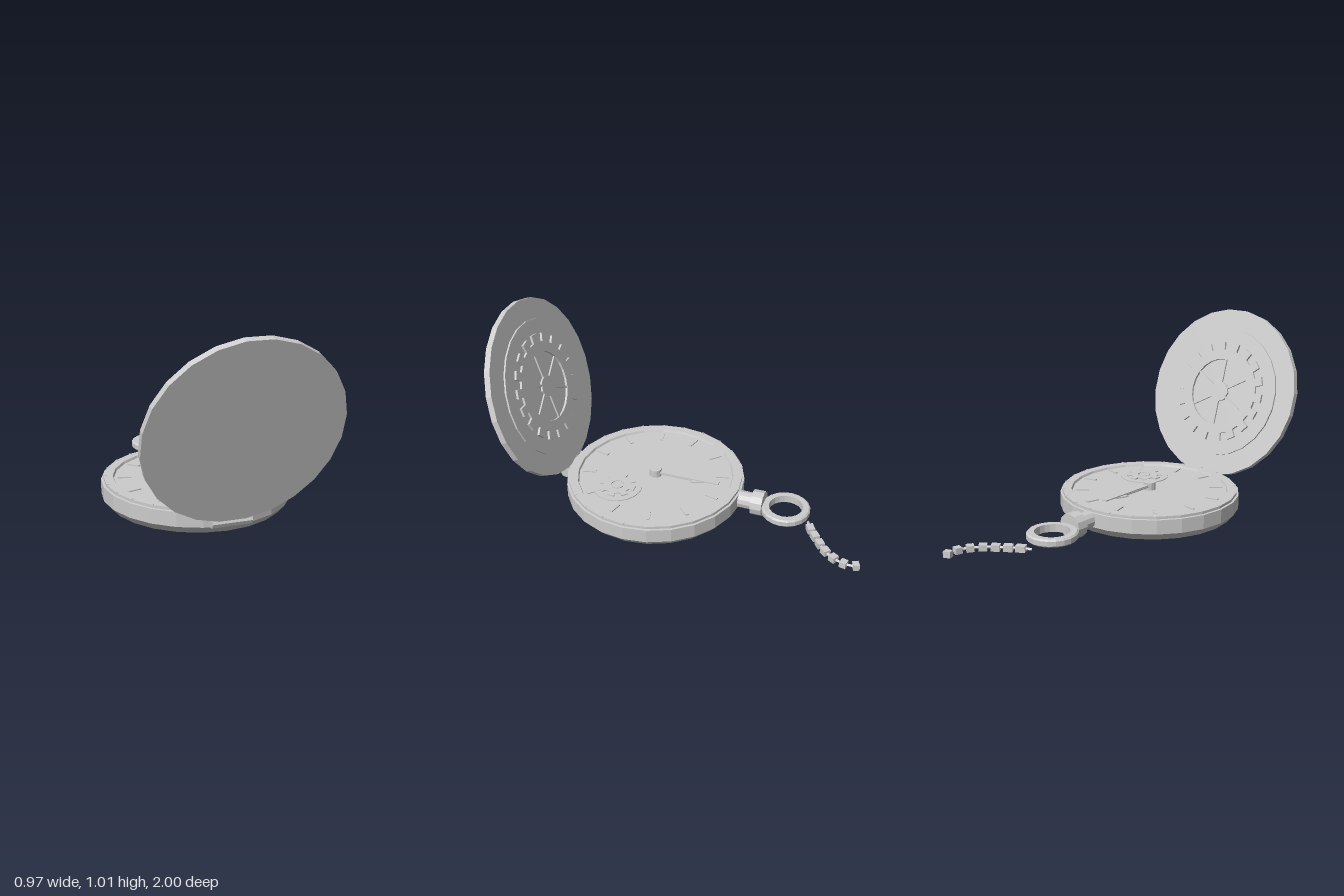
import * as THREE from 'three';

const metal = new THREE.MeshStandardMaterial({ color: 0xcccccc, flatShading: true });
metal.name = 'silver metal';

function add(parent, name, geometry, x = 0, y = 0, z = 0) {
  const mesh = new THREE.Mesh(geometry, metal);
  mesh.name = name;
  mesh.position.set(x, y, z);
  parent.add(mesh);
  return mesh;
}

function lathe(profile, sides) {
  return new THREE.LatheGeometry(profile.map(([r, y]) => new THREE.Vector2(r, y)), sides);
}

// Flat gear lying in the xz plane, rising from y = 0
function gear(teeth, root, tip, hole, height) {
  const shape = new THREE.Shape();
  const step = (Math.PI * 2) / teeth;
  const corners = [[-0.27, root], [-0.24, tip], [0.24, tip], [0.27, root]];
  for (let i = 0; i < teeth; i++) {
    corners.forEach(([t, r], k) => {
      const a = (i + t) * step;
      shape[i + k ? 'lineTo' : 'moveTo'](Math.cos(a) * r, Math.sin(a) * r);
    });
  }
  shape.closePath();
  const opening = new THREE.Path();
  opening.absarc(0, 0, hole, 0, Math.PI * 2, true);
  shape.holes.push(opening);
  return new THREE.ExtrudeGeometry(shape, { depth: height, bevelEnabled: false, curveSegments: 12 })
    .rotateX(-Math.PI / 2);
}

// Hand pointing to -z from an outline of [half width, length] points
function hand(outline, height) {
  const points = [
    ...outline.map(([w, l]) => new THREE.Vector2(w, l)),
    ...outline.slice().reverse().map(([w, l]) => new THREE.Vector2(-w, l)),
  ];
  return new THREE.ExtrudeGeometry(new THREE.Shape(points), { depth: height, bevelEnabled: false })
    .rotateX(-Math.PI / 2);
}

// Radially placed small boxes
function radialBoxes(parent, name, count, offset, radius, size, y) {
  for (let i = 0; i < count; i++) {
    const a = offset + (i * Math.PI * 2) / count;
    const box = add(parent, name, new THREE.BoxGeometry(...size), Math.sin(a) * radius, y, Math.cos(a) * radius);
    box.rotation.y = a;
  }
}

function createWatch() {
  const watch = new THREE.Group();
  watch.name = 'watch';
  watch.position.z = 0.187;

  // Case with bezel and recessed dial
  add(watch, 'case', lathe([
    [0, 0], [0.45, 0], [0.485, 0.04], [0.485, 0.115], [0.473, 0.116],
    [0.473, 0.13], [0.425, 0.13], [0.42, 0.118], [0, 0.118],
  ], 24));
  radialBoxes(watch, 'bezelTick', 24, 0, 0.466, [0.008, 0.004, 0.016], 0.13);
  radialBoxes(watch, 'hourMarker', 12, Math.PI / 12, 0.365, [0.018, 0.008, 0.07], 0.12);

  // Small dial with its gear
  const sub = new THREE.Group();
  sub.name = 'smallDial';
  sub.position.set(0.17, 0.118, 0.155);
  watch.add(sub);
  add(sub, 'smallDialPlate', new THREE.CylinderGeometry(0.133, 0.133, 0.005, 24), 0, 0.0025, 0);
  add(sub, 'smallGear', gear(8, 0.075, 0.1, 0.036, 0.007), 0, 0.004, 0);
  add(sub, 'smallGearHub', new THREE.CylinderGeometry(0.032, 0.032, 0.009, 8), 0, 0.0065, 0);

  // Hands and hub
  add(watch, 'hourHand', hand([[0.017, 0], [0.017, 0.215], [0.037, 0.215], [0.012, 0.285]], 0.007), 0, 0.135, 0);
  add(watch, 'minuteHand', hand([[0.015, 0], [0.015, 0.362]], 0.006), 0, 0.142, 0);
  add(watch, 'handHub', new THREE.CylinderGeometry(0.034, 0.034, 0.042, 12), 0, 0.139, 0);
  return watch;
}

function createLid() {
  const lid = new THREE.Group();
  lid.name = 'lid';
  lid.position.set(0, 0.547, 0.839);
  lid.rotation.x = -1.264;

  add(lid, 'lidShell', new THREE.CylinderGeometry(0.485, 0.485, 0.034, 24)).rotation.y = Math.PI / 24;
  add(lid, 'lidPlate', new THREE.CylinderGeometry(0.37, 0.37, 0.01, 24), 0, 0.022, 0).rotation.y = Math.PI / 24;
  add(lid, 'lidGear', gear(18, 0.245, 0.29, 0.19, 0.013), 0, 0.027, 0);
  add(lid, 'lidGearHub', new THREE.CylinderGeometry(0.06, 0.06, 0.012, 8), 0, 0.032, 0);
  radialBoxes(lid, 'lidGearSpoke', 6, 0, 0.125, [0.014, 0.01, 0.14], 0.031);
  return lid;
}

function createChain() {
  const chain = new THREE.Group();
  chain.name = 'chain';
  const path = new THREE.CatmullRomCurve3([
    [0.01, -0.675], [0.063, -0.7], [0.143, -0.757], [0.21, -0.81],
    [0.254, -0.868], [0.275, -0.92], [0.277, -0.963], [0.264, -0.998],
  ].map(([x, z]) => new THREE.Vector3(x, 0.022, z)));
  add(chain, 'chainCord', new THREE.TubeGeometry(path, 24, 0.008, 4));
  for (let i = 0; i < 7; i++) {
    const t = 0.13 + i * 0.138;
    const p = path.getPointAt(t);
    const d = path.getTangentAt(t);
    const size = 0.05 - i * 0.003;
    const link = add(chain, 'chainLink', new THREE.BoxGeometry(0.038, 0.032, size), p.x, p.y, p.z);
    link.rotation.y = Math.atan2(d.x, d.z);
  }
  return chain;
}

export function createModel() {
  const model = new THREE.Group();
  model.name = 'pocketWatch';
  model.add(createWatch(), createLid(), createChain());

  // Hinge between case and lid
  add(model, 'hinge', new THREE.CylinderGeometry(0.027, 0.027, 0.2, 8), 0, 0.073, 0.688).rotation.z = Math.PI / 2;

  // Winding stem, crown and bow ring
  add(model, 'stem', new THREE.CylinderGeometry(0.047, 0.047, 0.11, 12), 0, 0.073, -0.315).rotation.x = Math.PI / 2;
  add(model, 'crown', new THREE.CylinderGeometry(0.068, 0.068, 0.062, 12), 0, 0.072, -0.398).rotation.x = Math.PI / 2;
  add(model, 'bowRing', lathe([
    [0.09, 0.045], [0.122, 0.045], [0.13, 0.053], [0.13, 0.078], [0.122, 0.086], [0.09, 0.086], [0.09, 0.045],
  ], 20), 0, 0, -0.548);
  return model;
}
